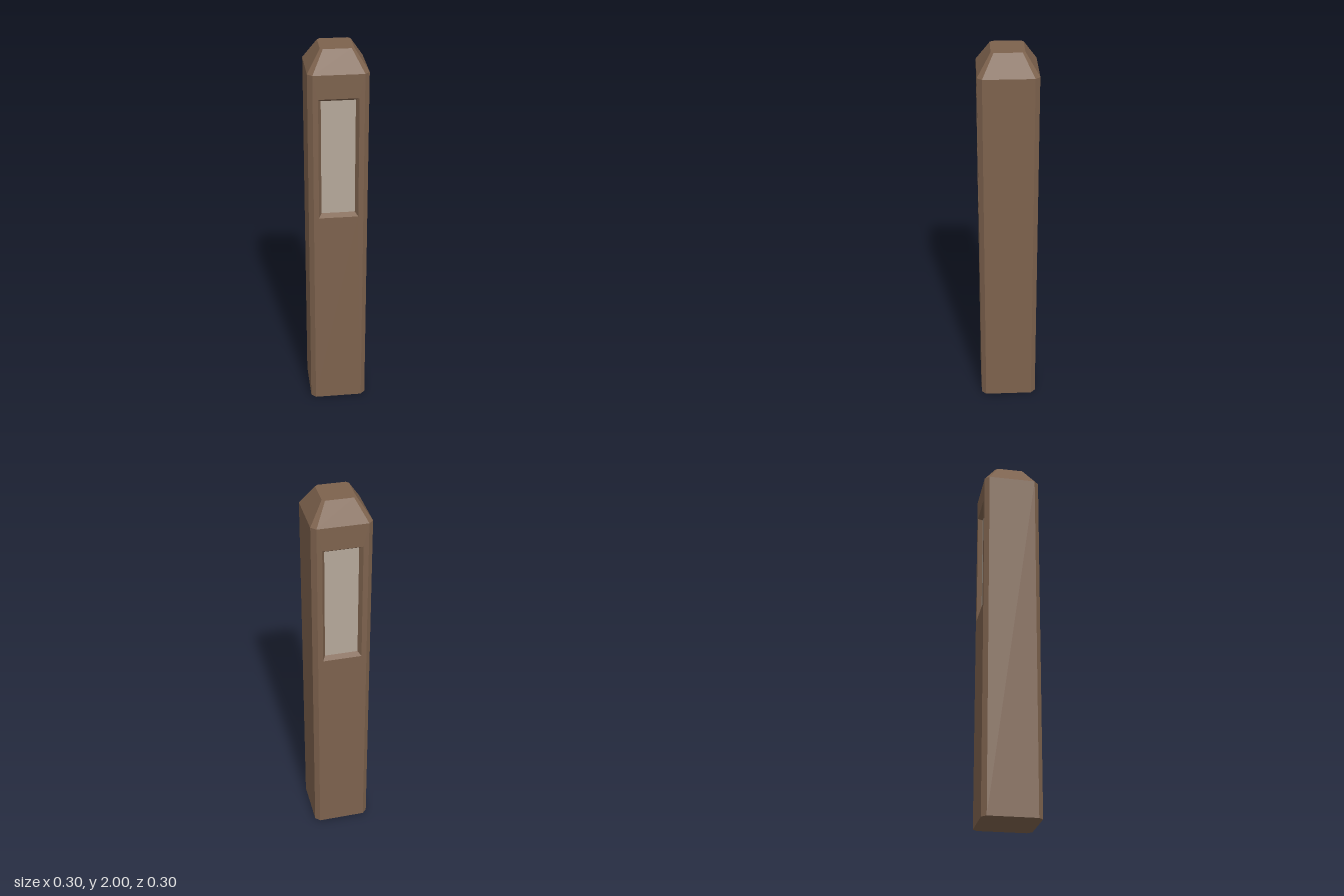
import * as THREE from 'three';

// Flat-sided geometry from convex polygons (corners counter-clockwise from outside)
function fromPolygons(polys) {
  const pos = [];
  for (const p of polys) {
    for (let i = 1; i < p.length - 1; i++) pos.push(...p[0], ...p[i], ...p[i + 1]);
  }
  const g = new THREE.BufferGeometry();
  g.setAttribute('position', new THREE.Float32BufferAttribute(pos, 3));
  g.computeVertexNormals();
  return g;
}

// Square with chamfered corners: half width h, flat half length c
const ring = (h, c, y) =>
  [[c, h], [h, c], [h, -c], [c, -h], [-c, -h], [-h, -c], [-h, c], [-c, h]].map(([x, z]) => [x, y, z]);

const rect = (w, y0, y1, z) => [[-w, y0, z], [w, y0, z], [w, y1, z], [-w, y1, z]];

// Quads joining two closed loops
const bridge = (a, b) => a.map((p, i) => {
  const j = (i + 1) % a.length;
  return [p, a[j], b[j], b[i]];
});

export function createModel() {
  const wood = new THREE.MeshStandardMaterial({ color: 0x7d624d });
  wood.name = 'brown wood';
  const pale = new THREE.MeshStandardMaterial({ color: 0xb5a89a });
  pale.name = 'pale panel';

  const group = new THREE.Group();
  group.name = 'post';
  const add = (name, polys, material, turn = 0) => {
    const mesh = new THREE.Mesh(fromPolygons(polys), material);
    mesh.name = name;
    mesh.rotation.y = turn;
    group.add(mesh);
  };

  const H = 0.15, C = 0.126, SHOULDER = 1.894;
  const base = ring(H, C, 0);
  const shoulder = ring(H, C, SHOULDER);
  const top = ring(0.082, 0.069, 2);

  // Shaft sides and corner chamfers; front and back faces carry the recesses
  const walls = bridge(base, shoulder).filter((_, i) => i !== 3 && i !== 7);
  add('shaft', [...walls, [...base].reverse()], wood);

  // Tapered cap
  add('cap', [...bridge(shoulder, top), top], wood);

  // Front and back faces with a splayed recess and an inset panel
  const face = rect(C, 0, SHOULDER, H);
  const opening = rect(0.1, 1.133, 1.773, H);
  const panel = rect(0.085, 1.15, 1.757, H - 0.024);
  for (const [side, turn] of [['front', 0], ['back', Math.PI]]) {
    add(side + 'Face', bridge(face, opening), wood, turn);
    add(side + 'Recess', bridge(opening, panel), wood, turn);
    add(side + 'Panel', [panel], pale, turn);
  }
  return group;
}
